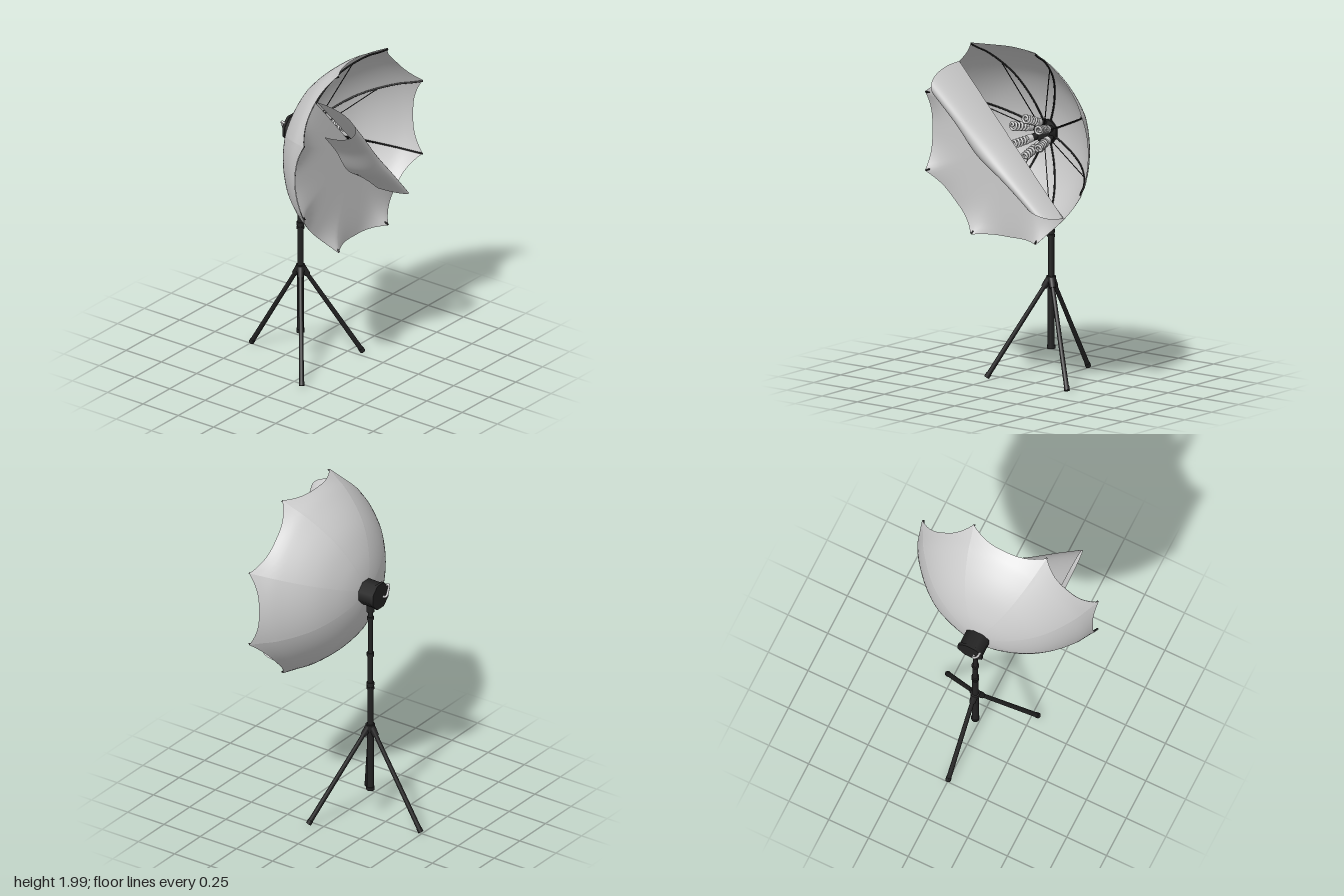
import * as THREE from 'three';
import { ParametricGeometry } from 'three/addons/geometries/ParametricGeometry.js';

const V = (x, y, z) => new THREE.Vector3(x, y, z);
const lerp = THREE.MathUtils.lerp;
const CY = 1.44;        // height of the softbox centre
const POLE_Z = -0.145;  // depth of the stand pole
const PANEL = Math.PI / 4;

export function createModel() {
  const model = new THREE.Group();
  const fabric = new THREE.MeshStandardMaterial({ color: 0xcccccc, side: THREE.DoubleSide });
  const metal = new THREE.MeshStandardMaterial({ color: 0xcccccc });
  const black = new THREE.MeshStandardMaterial({ color: 0x222222 });

  const add = (name, geometry, material, parent = model) => {
    const mesh = new THREE.Mesh(geometry, material);
    mesh.name = name;
    parent.add(mesh);
    return mesh;
  };
  // Cylinder running from a to b
  const rod = (name, a, b, r0, r1 = r0, material = black, sides = 14) => {
    const mesh = add(name, new THREE.CylinderGeometry(r1, r0, a.distanceTo(b), sides), material);
    mesh.position.copy(a).add(b).multiplyScalar(0.5);
    mesh.quaternion.setFromUnitVectors(V(0, 1, 0), b.clone().sub(a).normalize());
    return mesh;
  };
  const sheet = (name, fn, nu, nv) => {
    const g = new ParametricGeometry(fn, nu, nv);
    g.computeVertexNormals();
    return add(name, g, fabric);
  };

  // Rib profile: x = radius, y = depth
  const profile = new THREE.SplineCurve([
    [0, -0.115], [0.08, -0.112], [0.2, -0.082], [0.33, -0.02],
    [0.43, 0.06], [0.52, 0.165], [0.56, 0.235], [0.6, 0.3],
  ].map(([r, z]) => new THREE.Vector2(r, z)));

  // Canopy point at angle a, v = 0 at the apex and 1 at the scalloped rim
  const canopyPoint = (a, v, target) => {
    const off = a / PANEL - Math.floor(a / PANEL);  // ribs lie at off = 0.5
    const t = 1 - Math.abs(off - 0.5) * 2;          // 0 mid panel, 1 on a rib
    const p = profile.getPointAt(Math.min(1, v * lerp(0.9, 1, Math.pow(t, 2.6))));
    const r = p.x * (1 - 0.015 * (1 - t * t));
    return target.set(r * Math.cos(a), CY + r * Math.sin(a), p.y);
  };

  // Eight separate panels keep a crease along each rib
  for (let i = 0; i < 8; i++) {
    const rib = (i + 0.5) * PANEL;
    sheet('canopyPanel', (u, v, target) => canopyPoint(rib + u * PANEL, v, target), 16, 24);

    const pts = [];
    for (let k = 1; k <= 12; k++) {
      const p = canopyPoint(rib, k / 12, V());
      const s = 1 - 0.006 / Math.hypot(p.x, p.y - CY);
      pts.push(V(p.x * s, CY + (p.y - CY) * s, p.z + 0.006));
    }
    add('rib', new THREE.TubeGeometry(new THREE.CatmullRomCurve3(pts), 28, 0.005, 6), black);
    rod('ribStrut', V(0.045 * Math.cos(rib), CY + 0.045 * Math.sin(rib), -0.06), pts[7], 0.003, 0.003, black, 6);
  }

  // Front diffuser, still fastened over the lower half of the opening
  const a0 = THREE.MathUtils.degToRad(131), a1 = THREE.MathUtils.degToRad(314.5);
  sheet('frontCover', (u, v, target) => {
    canopyPoint(lerp(a0, a1, u), 1, target);
    target.set(target.x * v, CY + (target.y - CY) * v, lerp(0.242, target.z + 0.002, Math.pow(v, 8)));
  }, 96, 16);

  // Loose half of the diffuser, curled back along the diagonal
  const start = V(-0.355, 1.86, 0), end = V(0.38, 1.05, 0);
  const length = start.distanceTo(end);
  const along = end.clone().sub(start).normalize();
  const across = V(along.y, -along.x, 0);
  const width = new THREE.SplineCurve([[0, 0.135], [0.2, 0.14], [0.45, 0.165], [0.75, 0.125], [1, 0.1]]
    .map(([x, y]) => new THREE.Vector2(x, y)));
  sheet('foldedCover', (u, v, target) => {
    const angle = u * Math.PI * 0.96;
    const k = (1 - Math.cos(angle)) / 2;
    const d = lerp(0.16 * k, length - 0.2 * k, v);
    target.copy(start).addScaledVector(along, d).addScaledVector(across, k * width.getPoint(v).y);
    target.z = 0.242 + lerp(0.27, 0.15, v) * Math.pow(Math.sin(angle), 0.85);
  }, 32, 40);

  // Lamp head behind the canopy
  const head = rod('lampHead', V(0, CY, -0.205), V(0, CY, -0.105), 0.076, 0.076, black, 8);
  head.rotateY(Math.PI / 8);
  const plate = rod('backPlate', V(0, CY, -0.216), V(0, CY, -0.2), 0.082, 0.082, black, 8);
  plate.rotateY(Math.PI / 8);
  rod('innerHub', V(0, CY, -0.115), V(0, CY, -0.06), 0.07, 0.055, black, 24);
  const handlePath = new THREE.CatmullRomCurve3([
    V(-0.06, 1.485, -0.21), V(-0.06, 1.49, -0.23), V(-0.05, 1.46, -0.232),
    V(-0.03, 1.43, -0.232), V(-0.025, 1.425, -0.21)]);
  add('tiltHandle', new THREE.TubeGeometry(handlePath, 24, 0.007, 8), metal);

  // Spiral bulbs splayed around the hub
  for (let i = 0; i < 6; i++) {
    const a = Math.PI / 2 + i * Math.PI / 3;
    const at = (r, z) => V(r * Math.cos(a), CY + r * Math.sin(a), z);
    rod('bulbSocket', at(0.045, -0.09), at(0.065, -0.035), 0.02, 0.022);
    rod('bulbBase', at(0.065, -0.035), at(0.075, -0.005), 0.024, 0.024, metal);
    const coil = [];
    for (let k = 0; k <= 60; k++) {
      const w = k / 60 * Math.PI * 10;
      coil.push(V(0.02 * Math.cos(w), k / 60 * 0.11, 0.02 * Math.sin(w)));
    }
    coil.push(V(0.004, 0.116, 0));
    const spiral = add('bulbSpiral', new THREE.TubeGeometry(new THREE.CatmullRomCurve3(coil), 120, 0.0075, 6), metal);
    const base = at(0.075, -0.003);
    spiral.position.copy(base);
    spiral.quaternion.setFromUnitVectors(V(0, 1, 0), at(0.112, 0.11).sub(base).normalize());
  }

  // Telescopic pole with its collars: [bottom, top, radius]
  [[0.19, 0.6, 0.02], [0.6, 0.86, 0.018], [0.86, 1.05, 0.016], [1.05, 1.38, 0.015]].forEach(([b, t, r]) =>
    rod('pole', V(0, b, POLE_Z), V(0, t, POLE_Z), r));
  [[0.18, 0.2, 0.024], [0.56, 0.6, 0.027], [0.825, 0.84, 0.022], [0.85, 0.868, 0.022],
    [1.035, 1.058, 0.021], [1.27, 1.288, 0.02], [1.32, 1.375, 0.022]].forEach(([b, t, r]) =>
    rod('collar', V(0, b, POLE_Z), V(0, t, POLE_Z), r));

  // Tripod legs with hinge blocks and feet
  [[0.285, 0.08], [-0.285, 0.08], [0, -0.493]].forEach(([x, z]) => {
    const top = V(0, 0.6, POLE_Z), foot = V(x, 0.014, z);
    const at = (k) => top.clone().lerp(foot, k);
    rod('legHinge', at(0.03), at(0.11), 0.02, 0.018);
    rod('leg', at(0.05), at(0.98), 0.012, 0.014);
    rod('foot', at(0.965), foot, 0.016);
  });

  return model;
}
